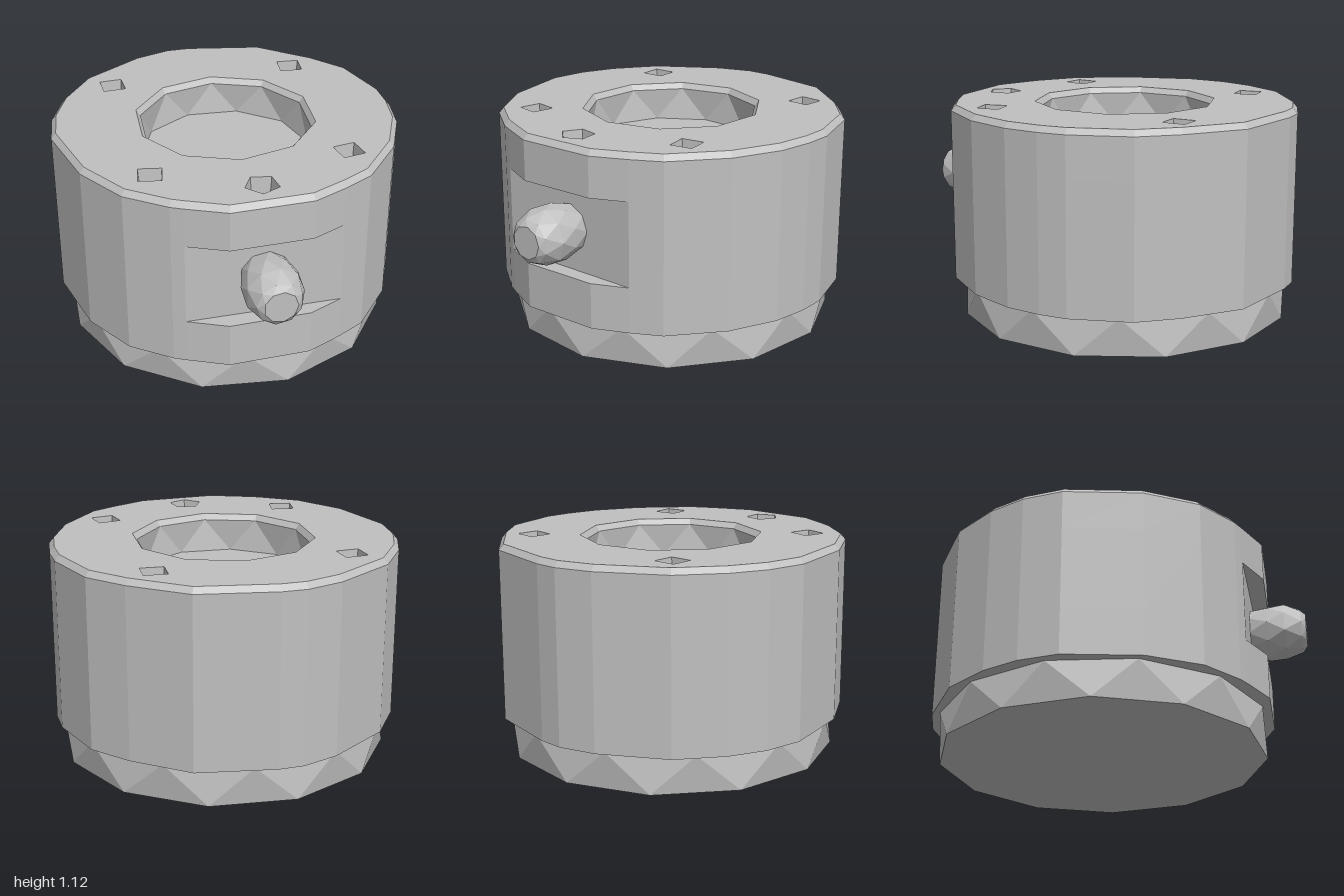
import * as THREE from 'three';

const CZ = -0.1; // the round housing sits slightly behind the origin, making room for the knob

// ring of n points [x, y, z], counter-clockwise seen from above
function ring(n, r, y, start = 0, cx = 0, cz = CZ) {
  return Array.from({ length: n }, (_, i) => {
    const a = start + (i / n) * Math.PI * 2;
    return [cx + r * Math.cos(a), y, cz - r * Math.sin(a)];
  });
}

// faceted skin through rings: ascending rings face outward, descending rings face inward
function loft(rings) {
  const pos = [];
  const tri = (...p) => {
    const [a, b, c] = p.map(v => new THREE.Vector3(...v));
    if (b.clone().sub(a).cross(c.clone().sub(a)).length() > 1e-7) pos.push(...p.flat());
  };
  for (let k = 0; k + 1 < rings.length; k++) {
    const a = rings[k], b = rings[k + 1], n = a.length;
    for (let i = 0; i < n; i++) {
      const j = (i + 1) % n;
      tri(a[i], a[j], b[j]);
      tri(a[i], b[j], b[i]);
    }
  }
  const g = new THREE.BufferGeometry();
  g.setAttribute('position', new THREE.Float32BufferAttribute(pos, 3));
  g.computeVertexNormals();
  return g;
}

// flat face filling a ring, optionally pierced by other rings
function cap(outline, holes = [], up = true) {
  const s = up ? -1 : 1;
  const to2D = r => r.map(p => new THREE.Vector2(p[0], s * p[2]));
  const shape = new THREE.Shape(to2D(outline));
  holes.forEach(h => shape.holes.push(new THREE.Path(to2D(h))));
  return new THREE.ShapeGeometry(shape).rotateX(s * Math.PI / 2).translate(0, outline[0][1], 0);
}

export function createModel() {
  const model = new THREE.Group();
  model.name = 'roundHousing';
  const grey = new THREE.MeshStandardMaterial({ color: 0xc0c0c0 });
  grey.name = 'grey';
  grey.flatShading = true;
  const add = (name, geometry, parent = model) => {
    const m = new THREE.Mesh(geometry, grey);
    m.name = name;
    parent.add(m);
    return m;
  };

  // irregular faceted outline of the housing
  const outline = [
    [0, -1], [0.4, -0.92], [0.66, -0.7], [0.81, -0.52], [0.9, -0.21], [0.9, -0.06], [0.87, 0.13],
    [0.76, 0.38], [0.55, 0.63], [0.4, 0.71], [0.22, 0.79], [-0.2, 0.8], [-0.4, 0.71], [-0.46, 0.68],
    [-0.66, 0.53], [-0.82, 0.27], [-0.91, -0.12], [-0.88, -0.33], [-0.8, -0.52], [-0.64, -0.74],
    [-0.32, -0.94], [-0.13, -1],
  ].reverse();
  const full = (y, s = 1) => outline.map(([x, z]) => [x * s, y, CZ + (z - CZ) * s]);
  const cut = y => outline.map(([x, z]) => [x, y, Math.min(z, 0.71)]);

  // housing wall with a flat recess cut into the front and a chamfered top edge
  const top = full(1.12, 0.972);
  add('housingWall', loft([full(0.2), full(0.44), cut(0.44), cut(0.88), full(0.88), full(1.09), top]));

  // central well with a chamfered rim
  const half = Math.PI / 10;
  const rim = ring(10, 0.475, 1.12, 1.5);
  const floor = ring(10, 0.448, 0.92, 1.5 - half);
  add('wellWall', loft([rim, ring(10, 0.452, 1.09, 1.5), floor]));
  add('wellFloor', cap(floor));

  // small pits: four square ones at the corners, one pentagonal at the front
  const pits = [
    [-0.51, -0.6, 4, 0.83], [0.5, -0.61, 4, 0.7], [-0.5, 0.41, 4, 0.6], [0.51, 0.41, 4, 0.95],
    [0, 0.63, 5, 0.75],
  ];
  const mouths = pits.map(([x, z, n, a]) => {
    const r = n === 4 ? 0.084 : 0.088;
    const mouth = ring(n, r, 1.12, a, x, z);
    const bottom = ring(n, r * 0.88, 1.03, a, x, z);
    const pit = new THREE.Group();
    pit.name = 'pit';
    add('pitWall', loft([mouth, bottom]), pit);
    add('pitFloor', cap(bottom), pit);
    model.add(pit);
    return mouth;
  });
  add('topFace', cap(top, [rim, ...mouths]));

  // slightly narrower base below the housing
  const step = Math.PI / 6;
  const baseLow = ring(12, 0.86, 0, 0.14);
  const baseHigh = ring(12, 0.86, 0.2, 0.14 - step / 2);
  add('baseWall', loft([baseLow, baseHigh]));
  add('baseBottom', cap(baseLow, [], false));
  add('housingUnderside', cap(full(0.2), [baseHigh], false));

  // faceted knob pointing forward from the recess
  const knob = new THREE.Group();
  knob.name = 'knob';
  const profile = [[0.125, 0.7], [0.147, 0.8], [0.147, 0.89], [0.115, 0.975], [0.085, 1]];
  const rings = profile.map(([r, y], i) => ring(9, r, y, -i * Math.PI / 9, 0, 0));
  add('knobSide', loft(rings), knob);
  add('knobEnd', cap(rings[4]), knob);
  knob.rotation.x = Math.PI / 2;
  knob.position.y = 0.66;
  model.add(knob);

  return model;
}
